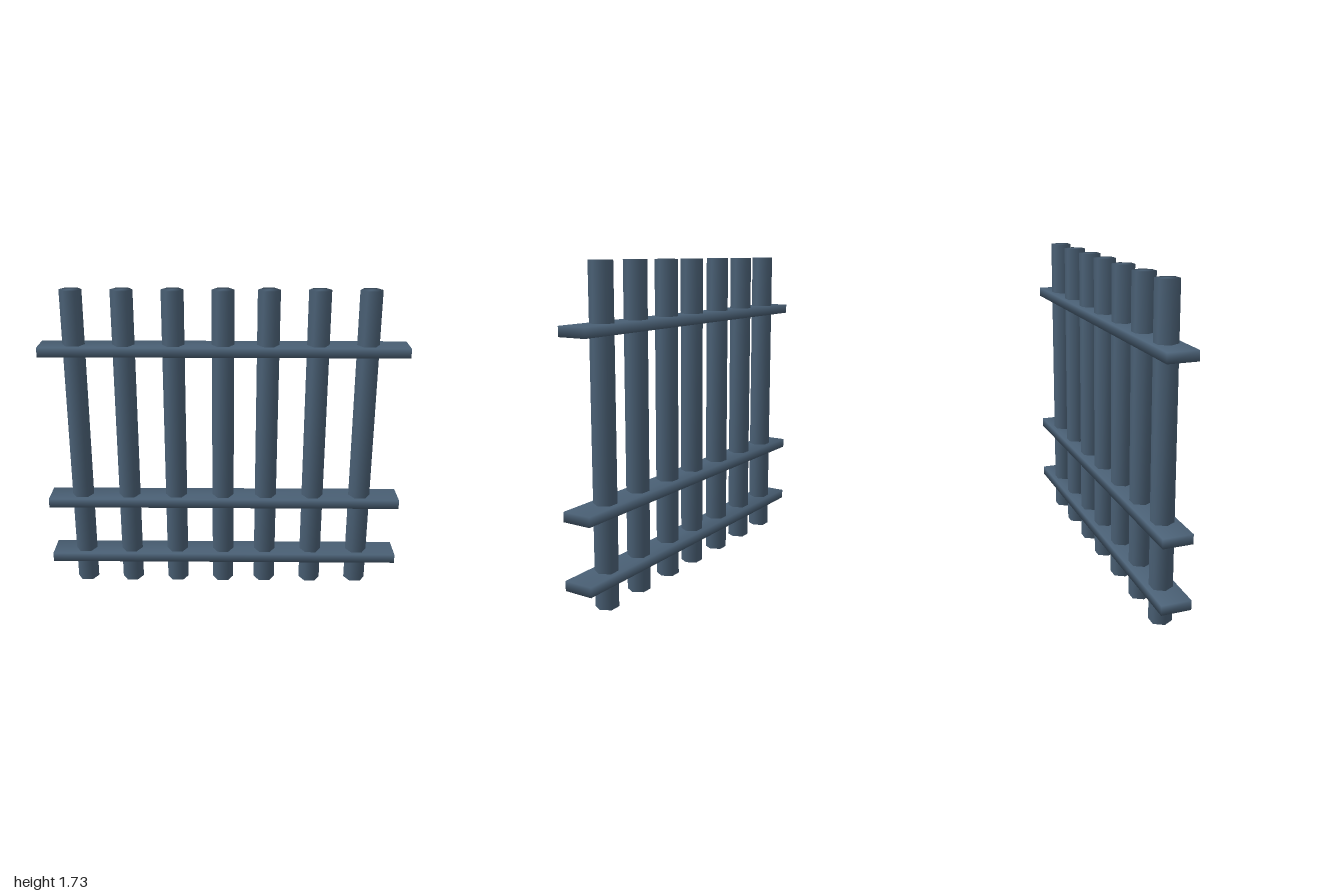
import * as THREE from 'three';
import { mergeVertices } from 'three/addons/utils/BufferGeometryUtils.js';

// Weld shared corners so the shading runs smoothly over every edge
function soften(geometry) {
  geometry.deleteAttribute('uv');
  geometry.deleteAttribute('normal');
  const welded = mergeVertices(geometry, 1e-3);
  welded.computeVertexNormals();
  return welded;
}

export function createModel() {
  const group = new THREE.Group();
  group.name = 'barFence';

  const iron = new THREE.MeshStandardMaterial({ color: 0x4a6075 });
  iron.name = 'slateIron';

  // Upright hexagonal bars, corners pointing along x
  const height = 1.73;
  const barGeometry = soften(
    new THREE.CylinderGeometry(0.061, 0.061, height, 6, 1, false, Math.PI / 6));
  [-0.813, -0.543, -0.273, -0.004, 0.241, 0.511, 0.781].forEach((x, i) => {
    const bar = new THREE.Mesh(barGeometry, iron);
    bar.name = `uprightBar${i + 1}`;
    bar.position.set(x, height / 2, 0);
    group.add(bar);
  });

  // Flat cross rails threaded by the bars
  const railGeometry = soften(new THREE.BoxGeometry(2, 0.052, 0.16));
  [['lowerRail', 0.165], ['middleRail', 0.516], ['upperRail', 1.406]].forEach(([name, y]) => {
    const rail = new THREE.Mesh(railGeometry, iron);
    rail.name = name;
    rail.position.y = y;
    group.add(rail);
  });

  return group;
}
